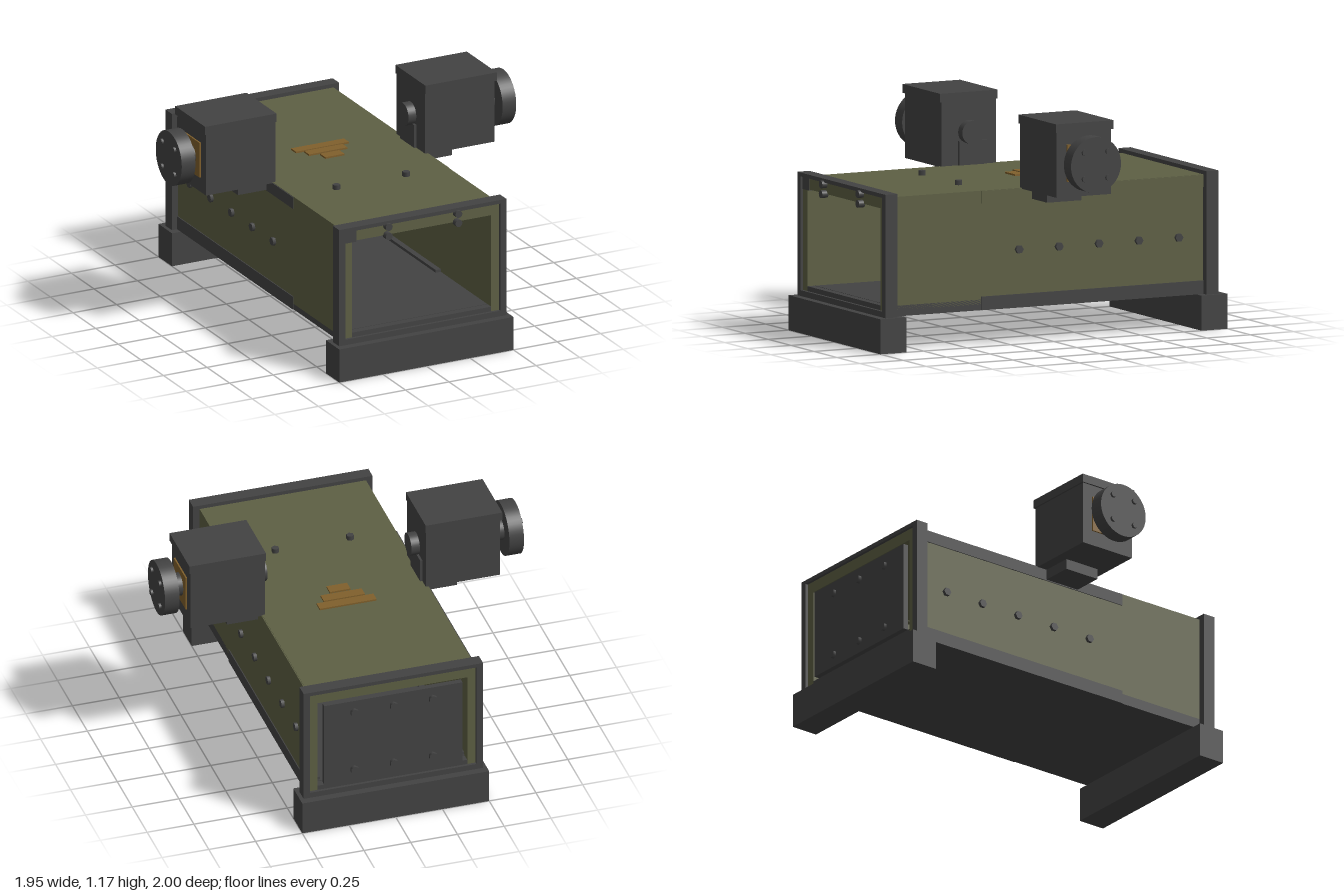
import * as THREE from 'three';

export function createModel() {
  const root = new THREE.Group();
  root.name = 'mountedHousing';
  const mat = (name, color) => {
    const m = new THREE.MeshStandardMaterial({ color });
    m.name = name;
    return m;
  };
  const dark = mat('dark grey steel', 0x434343);
  const olive = mat('olive paint', 0x5e6044);
  const orange = mat('ochre paint', 0x80602c);

  // Box given by its minimum and maximum corners
  const box = (name, m, x0, x1, y0, y1, z0, z1, parent = root) => {
    const mesh = new THREE.Mesh(new THREE.BoxGeometry(x1 - x0, y1 - y0, z1 - z0), m);
    mesh.position.set((x0 + x1) / 2, (y0 + y1) / 2, (z0 + z1) / 2);
    mesh.name = name;
    parent.add(mesh);
  };
  // Cylinder along a chosen axis, centred at (x, y, z)
  const rod = (name, axis, r, len, x, y, z, sides = 32, parent = root) => {
    const g = new THREE.CylinderGeometry(r, r, len, sides);
    if (axis === 'x') g.rotateZ(Math.PI / 2);
    if (axis === 'z') g.rotateX(Math.PI / 2);
    const mesh = new THREE.Mesh(g, dark);
    mesh.position.set(x, y, z);
    mesh.name = name;
    parent.add(mesh);
  };

  // Open tube: floor, roof, side walls
  box('floor', dark, -0.445, 0.445, 0.18, 0.235, -0.9, 0.9);
  box('roof', olive, -0.445, 0.445, 0.735, 0.795, -0.945, 0.945);
  for (const s of [-1, 1]) {
    const a = s < 0 ? -0.445 : 0.4;
    box('sideWall', olive, a, a + 0.045, 0.21, 0.75, -0.945, 0.945);
    // Corner rails along the rear part of the tube
    const b = s < 0 ? -0.45 : 0.37;
    box('bottomRail', dark, b, b + 0.08, 0.18, 0.25, -0.89, 0.39);
    box('topRail', s < 0 ? dark : olive, b, b + 0.08, 0.73, 0.793, -0.89, 0.39);
    for (const z of [0.175, -0.055, -0.285, -0.515, -0.745])
      rod('sideBolt', 'x', 0.022, 0.03, s * 0.447, 0.48, z, 6);
  }
  box('frontCornerPlate', dark, -0.45, -0.375, 0.73, 0.795, 0.9, 0.95);

  // End frames and feet
  for (const s of [-1, 1]) {
    const z0 = s < 0 ? -0.96 : 0.89, z1 = z0 + 0.07;
    box('frameTopBar', dark, -0.48, 0.48, 0.795, 0.815, z0, z1);
    box('frameBottomBar', dark, -0.48, 0.48, 0.18, 0.21, z0, z1);
    box('frameSill', dark, -0.4, 0.4, 0.18, 0.235, z0 + 0.015, z1 - 0.015);
    for (const t of [-1, 1]) {
      const x0 = t < 0 ? -0.48 : 0.45;
      box('framePost', dark, x0 - (t > 0 ? 0.005 : 0), x0 + (t < 0 ? 0.035 : 0.03), 0.18, 0.81, z0, z1);
    }
    const f = s < 0 ? -1 : 0.85;
    box('foot', dark, -0.5, 0.5, 0, 0.18, f, f + 0.15);
  }

  // Rear cover with six bolts
  box('rearCover', dark, -0.37, 0.37, 0.245, 0.72, -0.96, -0.93);
  for (const x of [-0.21, 0, 0.21])
    for (const y of [0.31, 0.655]) rod('rearBolt', 'z', 0.022, 0.03, x, y, -0.962, 6);

  // Front and roof bolts
  for (const x of [-0.2, 0.2]) {
    for (const y of [0.785, 0.735]) rod('frontBolt', 'z', 0.02, 0.035, x, y, 0.957, 12);
    rod('roofBolt', 'y', 0.02, 0.03, x, 0.805, 0.39, 6);
  }

  // Stepped roof marking
  [[0.152, -0.205, -0.15], [0.11, -0.14, -0.085], [0.055, -0.07, -0.012]].forEach(([w, z0, z1]) =>
    box('roofMarking', orange, -w, w, 0.795, 0.804, z0, z1));

  // Side units, mirrored by position
  for (const s of [-1, 1]) {
    const unit = new THREE.Group();
    unit.name = s > 0 ? 'leftUnit' : 'rightUnit';
    root.add(unit);
    const b = (name, m, x0, x1, ...r) =>
      box(name, m, Math.min(s * x0, s * x1), Math.max(s * x0, s * x1), ...r, unit);
    b('unitBody', dark, 0.43, 0.828, 0.79, 1.125, -0.157, 0.157);
    b('unitLid', dark, 0.427, 0.837, 1.125, 1.17, -0.166, 0.166);
    b('unitBracket', dark, 0.43, 0.615, 0.735, 0.79, -0.1, 0.1);
    b('innerPlate', dark, 0.418, 0.43, 0.75, 0.92, -0.1, 0.06);
    b('backingPlate', orange, 0.828, 0.836, 0.87, 1.06, -0.1, 0.1);
    rod('innerStub', 'x', 0.06, 0.06, s * 0.415, 0.965, 0, 32, unit);
    rod('axle', 'x', 0.06, 0.08, s * 0.855, 0.965, 0, 32, unit);
    rod('disc', 'x', 0.144, 0.078, s * 0.921, 0.965, 0, 48, unit);
    for (const y of [-0.068, 0.068])
      for (const z of [-0.068, 0.068])
        rod('discBolt', 'x', 0.016, 0.025, s * 0.96, 0.965 + y, z, 8, unit);
  }
  return root;
}
